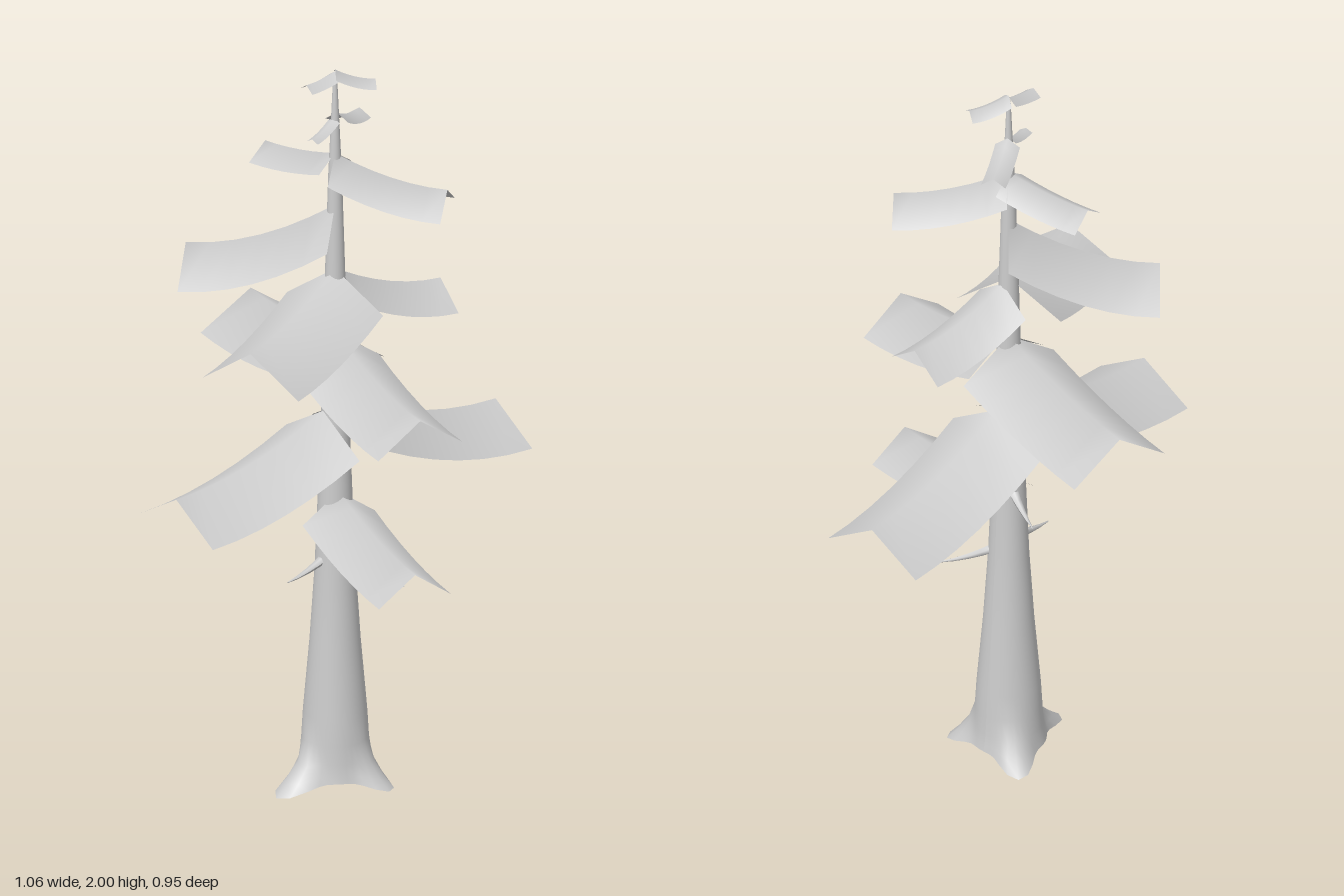
import * as THREE from 'three';

const material = new THREE.MeshStandardMaterial({ color: 0xcccccc, side: THREE.DoubleSide });
const CX = -0.005, CZ = 0.02; // trunk axis

// Smooth surface through a list of equally long rows of points
function loft(rows, name) {
  const n = rows[0].length, index = [];
  for (let i = 0; i < rows.length - 1; i++) {
    for (let j = 0; j < n - 1; j++) {
      const a = i * n + j, b = a + n;
      index.push(a, b, a + 1, b, b + 1, a + 1);
    }
  }
  const geometry = new THREE.BufferGeometry();
  geometry.setAttribute('position', new THREE.Float32BufferAttribute(rows.flat(2), 3));
  geometry.setIndex(index);
  geometry.computeVertexNormals();
  const mesh = new THREE.Mesh(geometry, material);
  mesh.name = name;
  return mesh;
}

// Tapering trunk whose foot swells into three roots
function makeTrunk() {
  const profile = [[0.03, 0.098], [0.05, 0.094], [0.08, 0.09], [0.13, 0.087], [0.2, 0.083], [0.4, 0.066],
    [0.6, 0.053], [0.8, 0.045], [1.05, 0.036], [1.4, 0.027], [1.7, 0.018], [1.985, 0.005]];
  const roots = [[-0.195, 0], [0.105, -0.13], [0.07, 0.15]];
  const sides = 36;
  const rows = profile.map(([y, r]) => {
    const fade = Math.max(0, 1 - (y - 0.03) / 0.1) ** 2;
    const row = [];
    for (let j = 0; j <= sides; j++) {
      const a = -j / sides * Math.PI * 2;
      let swell = 0, sag = 0;
      for (const [x, z] of roots) {
        const lobe = Math.max(0, Math.cos(a - Math.atan2(z, x))) ** 14;
        swell += lobe * (Math.hypot(x, z) - 0.098);
        sag += lobe * 0.028;
      }
      const R = r + swell * fade;
      row.push([CX + R * Math.cos(a), y - sag * fade, CZ + R * Math.sin(a)]);
    }
    return row;
  });
  const group = new THREE.Group();
  group.name = 'trunk';
  group.add(loft(rows, 'trunkBark'));
  group.add(loft([rows[0].map(() => [CX, 0.03, CZ]), rows[0]], 'trunkUnderside'));
  return group;
}

// Drooping bough: a ridged card from the trunk to the ridge end (x, z)
function makeBough([x0, z0, y0, x1, z1, y1, dx, dz, half, fold]) {
  const rows = [], segments = 6;
  for (let i = 0; i <= segments; i++) {
    const t = i / segments;
    const x = x0 + (x1 - x0) * t, z = z0 + (z1 - z0) * t;
    const y = y0 + (y1 - y0) * (1 - (1 - t) ** 1.9);
    rows.push([-1, 0, 1].map(s => [x - dz * half * s, y - fold * Math.abs(s), z + dx * half * s]));
  }
  return loft(rows, 'bough');
}

// Dead twig: a thin curved cone
function makeTwig(from, to) {
  const a = new THREE.Vector3(...from), b = new THREE.Vector3(...to);
  const mid = a.clone().lerp(b, 0.5);
  mid.y -= 0.012;
  const curve = new THREE.QuadraticBezierCurve3(a, mid, b);
  const geometry = new THREE.TubeGeometry(curve, 4, 0.014, 6);
  const p = geometry.attributes.position, v = new THREE.Vector3();
  for (let i = 0; i < p.count; i++) {
    const t = Math.floor(i / 7) / 4, c = curve.getPointAt(t);
    v.fromBufferAttribute(p, i).sub(c).multiplyScalar(1 - 0.9 * t).add(c);
    p.setXYZ(i, v.x, v.y, v.z);
  }
  geometry.computeVertexNormals();
  const mesh = new THREE.Mesh(geometry, material);
  mesh.name = 'twig';
  return mesh;
}

export function createModel() {
  const tree = new THREE.Group();
  tree.name = 'conifer';
  tree.add(makeTrunk());

  // ridge end x, z | ridge start y, end y | half width | edge drop | start distance
  const boughs = [
    [-0.092, 0.453, 0.82, 0.75, 0.105, 0.075, 0.02],
    [0.527, 0.02, 1.055, 0.925, 0.15, 0.09, 0.045],
    [-0.53, 0.018, 1.05, 0.935, 0.15, 0.09, 0.04],
    [0.097, -0.45, 1.26, 1.195, 0.144, 0.098, 0.0],
    [-0.07, 0.447, 1.26, 1.175, 0.125, 0.085, 0.01],
    [-0.396, 0.156, 1.44, 1.355, 0.145, 0.1, 0.0],
    [0.304, 0.07, 1.43, 1.345, 0.093, 0.065, 0.02],
    [-0.262, -0.273, 1.62, 1.485, 0.127, 0.085, 0.0],
    [0.178, 0.253, 1.765, 1.69, 0.086, 0.06, 0.0],
    [-0.044, -0.217, 1.765, 1.73, 0.063, 0.042, 0.0],
    [0.127, -0.043, 1.875, 1.835, 0.033, 0.023, 0.01],
    [-0.104, 0.048, 1.865, 1.84, 0.018, 0.01, 0.005],
    [-0.097, 0.016, 1.995, 1.98, 0.026, 0.018, 0.0],
    [0.082, 0.078, 2.0, 1.97, 0.033, 0.018, 0.0],
  ];
  for (const [x, z, y0, y1, half, fold, start] of boughs) {
    const d = Math.hypot(x - CX, z - CZ), dx = (x - CX) / d, dz = (z - CZ) / d;
    tree.add(makeBough([CX + dx * start, CZ + dz * start, y0, x, z, y1, dx, dz, half, fold]));
  }

  tree.add(makeTwig([0.01, 0.8, -0.01], [0.06, 0.76, -0.12]));
  tree.add(makeTwig([-0.03, 0.64, 0.02], [-0.17, 0.605, 0.03]));
  tree.add(makeTwig([0.02, 0.615, 0.04], [0.11, 0.56, 0.16]));
  return tree;
}
